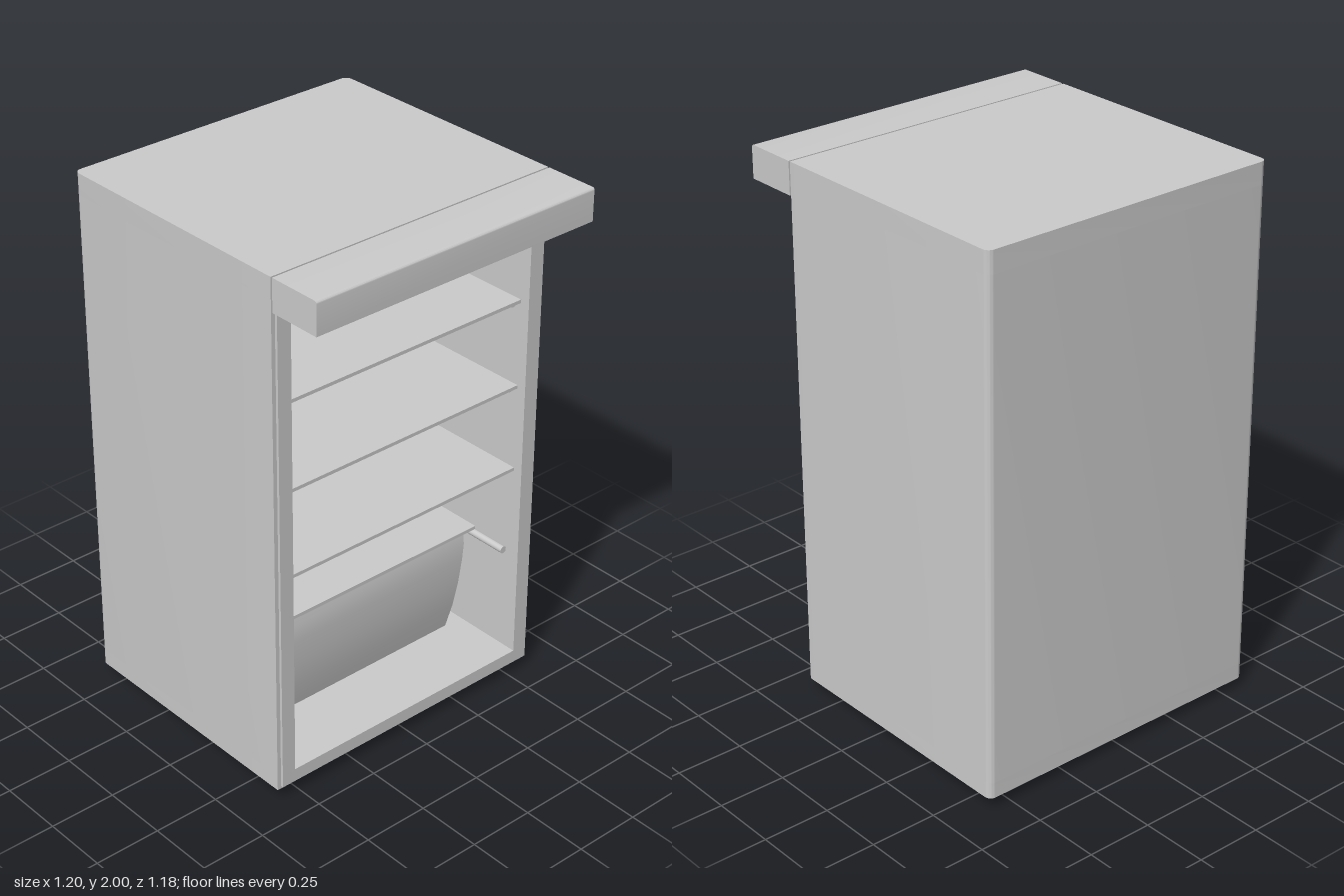
import * as THREE from 'three';
import { RoundedBoxGeometry } from 'three/addons/geometries/RoundedBoxGeometry.js';
import { toCreasedNormals } from 'three/addons/utils/BufferGeometryUtils.js';

const BACK = -0.6, FRONT = 0.39, HALF = 0.59, INNER = 0.52, INNER_BACK = -0.53;
const FLOOR = 0.1, CEILING = 1.92;

export function createModel() {
  const model = new THREE.Group();
  const grey = new THREE.MeshStandardMaterial({ color: 0xcccccc });
  const greyDouble = new THREE.MeshStandardMaterial({ color: 0xcccccc, side: THREE.DoubleSide });

  const add = (name, geometry, x = 0, y = 0, z = 0, material = grey) => {
    const mesh = new THREE.Mesh(geometry, material);
    mesh.name = name;
    mesh.position.set(x, y, z);
    model.add(mesh);
    return mesh;
  };
  // box given by its limits
  const box = (name, x0, x1, y0, y1, z0, z1) =>
    add(name, new THREE.BoxGeometry(x1 - x0, y1 - y0, z1 - z0),
      (x0 + x1) / 2, (y0 + y1) / 2, (z0 + z1) / 2);

  // plan outline with rounded back corners; 'hollow' opens it to the front
  const plan = (hollow) => {
    const r = 0.025, s = new THREE.Shape();
    s.moveTo(FRONT, -HALF);
    if (hollow) {
      s.lineTo(FRONT, -INNER);
      s.lineTo(INNER_BACK, -INNER);
      s.lineTo(INNER_BACK, INNER);
      s.lineTo(FRONT, INNER);
    }
    s.lineTo(FRONT, HALF);
    s.lineTo(BACK + r, HALF);
    s.absarc(BACK + r, HALF - r, r, Math.PI / 2, Math.PI, false);
    s.lineTo(BACK, -HALF + r);
    s.absarc(BACK + r, -HALF + r, r, Math.PI, Math.PI * 1.5, false);
    s.closePath();
    return s;
  };
  const slab = (name, hollow, y0, y1) => {
    const g = new THREE.ExtrudeGeometry(plan(hollow), { depth: y1 - y0, bevelEnabled: false, curveSegments: 6 });
    g.rotateX(-Math.PI / 2);
    add(name, toCreasedNormals(g, 0.6), 0, y0, 0);
  };

  // cabinet
  slab('cabinetFloor', false, 0.04, FLOOR);
  slab('cabinetWalls', true, FLOOR, CEILING);
  slab('cabinetTop', false, CEILING, 2);

  // raised rim around the opening
  const rim = new THREE.Shape();
  rim.moveTo(-0.575, 0.05);
  rim.lineTo(0.575, 0.05);
  rim.lineTo(0.575, 1.99);
  rim.lineTo(-0.575, 1.99);
  rim.closePath();
  const opening = new THREE.Path();
  opening.moveTo(-INNER, FLOOR);
  opening.lineTo(-INNER, CEILING);
  opening.lineTo(INNER, CEILING);
  opening.lineTo(INNER, FLOOR);
  opening.closePath();
  rim.holes.push(opening);
  const rimGeometry = new THREE.ExtrudeGeometry(rim, { depth: 0.01, bevelEnabled: false });
  rimGeometry.rotateY(Math.PI / 2);
  add('openingRim', rimGeometry, FRONT, 0, 0);

  // overhanging front header with an eased top edge
  const header = new THREE.Shape();
  header.moveTo(0.397, 1.88);
  header.lineTo(0.6, 1.88);
  header.lineTo(0.6, 1.99);
  header.quadraticCurveTo(0.6, 2, 0.59, 2);
  header.lineTo(0.397, 2);
  header.closePath();
  add('frontHeader', toCreasedNormals(
    new THREE.ExtrudeGeometry(header, { depth: 2 * HALF, bevelEnabled: false, curveSegments: 4 }), 0.6), 0, 0, -HALF);

  // shelves on side rails; the lowest one is shorter
  for (let i = 0; i < 4; i++) {
    const y = 0.54 + i * 0.33;
    box('shelf', INNER_BACK, i === 0 ? 0.19 : 0.37, y - 0.013, y, -0.513, 0.513);
    for (const side of [-1, 1]) {
      const rail = new THREE.CylinderGeometry(0.014, 0.014, 0.86, 12);
      rail.rotateZ(Math.PI / 2);
      add('shelfRail', rail, -0.09, y - 0.026, side * 0.508);
    }
  }

  // drawer: open tapered tub, its walls curving in towards the bottom
  const levels = [[0.103, 0.44, 0.125], [0.2, 0.455, 0.145], [0.3, 0.467, 0.158], [0.4, 0.479, 0.163], [0.46, 0.485, 0.163], [0.51, 0.49, 0.155]];
  const positions = [], indices = [];
  const ring = ([y, w, f], inset) => {
    const b = -0.48 + inset, front = f - inset, half = w - inset;
    positions.push(b, y, -half, b, y, half, front, y, half, front, y, -half);
  };
  levels.forEach((l) => ring(l, 0));
  [...levels].reverse().forEach(([y, w, f], i) => ring([i === 5 ? y + 0.012 : y, w, f], 0.012));
  const rings = levels.length * 2;
  for (let i = 0; i < rings - 1; i++) {
    for (let j = 0; j < 4; j++) {
      const a = i * 4 + j, b = i * 4 + (j + 1) % 4;
      indices.push(a, b, b + 4, a, b + 4, a + 4);
    }
  }
  const last = (rings - 1) * 4;
  indices.push(0, 2, 1, 0, 3, 2, last, last + 1, last + 2, last, last + 2, last + 3);
  const tub = new THREE.BufferGeometry();
  tub.setAttribute('position', new THREE.Float32BufferAttribute(positions, 3));
  tub.setIndex(indices);
  add('drawer', toCreasedNormals(tub, 0.6), 0, 0, 0, greyDouble);

  // interior lamp housing on the right-hand wall
  box('lampBase', -0.06, 0.14, 1.68, 1.755, -INNER, -0.48);
  add('lampCover', new RoundedBoxGeometry(0.21, 0.088, 0.05, 3, 0.018), 0.04, 1.717, -0.467);

  // tapered feet
  for (const x of [-0.52, 0.33]) {
    for (const z of [-0.51, 0.51]) {
      add('foot', new THREE.CylinderGeometry(0.03, 0.02, 0.045, 16), x, 0.0225, z);
    }
  }
  return model;
}
